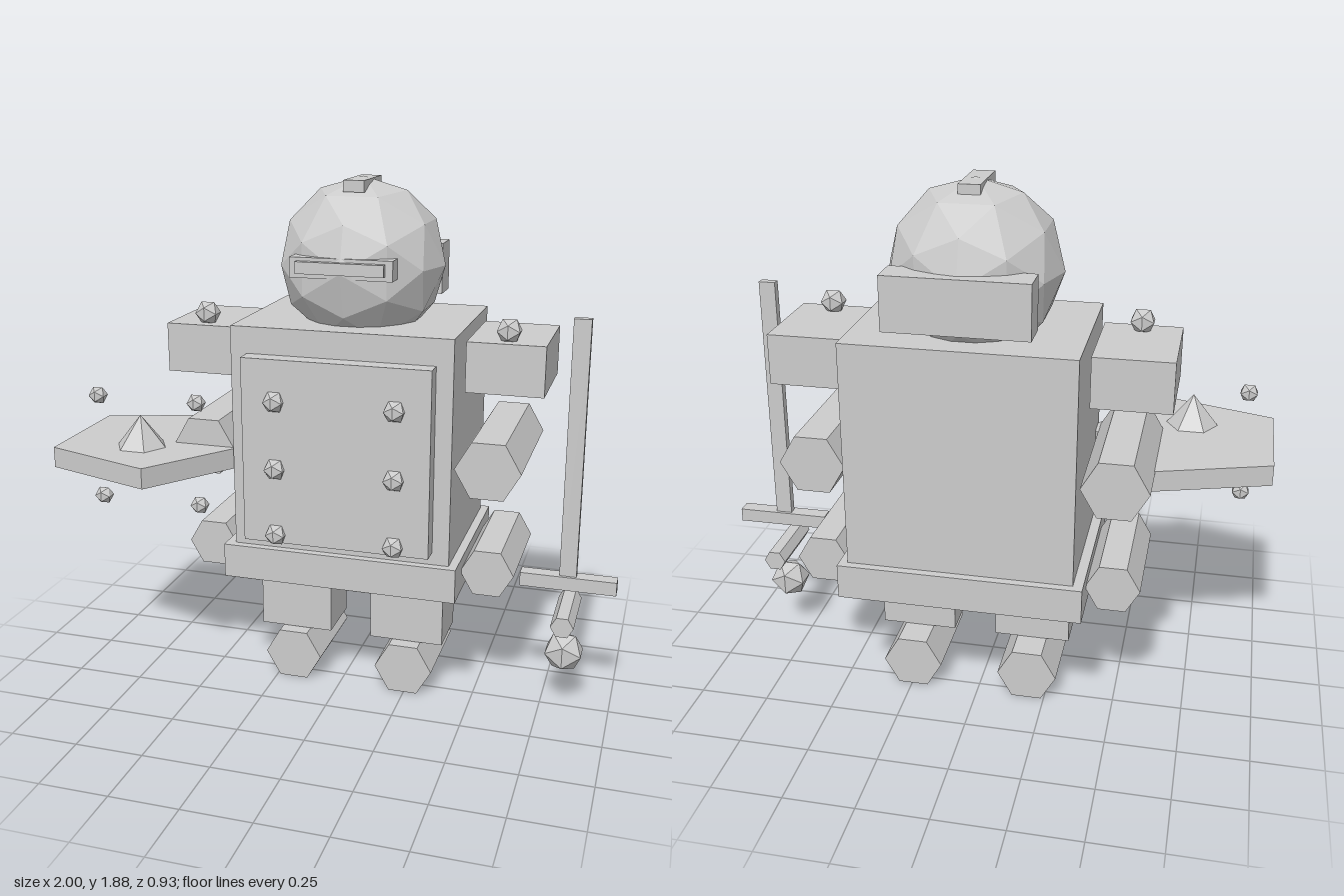
import * as THREE from 'three';

export function createModel() {
  const model = new THREE.Group();
  model.name = 'robotKnight';
  const material = new THREE.MeshStandardMaterial({ color: 0xcccccc, flatShading: true });

  const add = (name, geometry, x, y, z) => {
    const mesh = new THREE.Mesh(geometry, material);
    mesh.name = name;
    mesh.position.set(x, y, z);
    model.add(mesh);
    return mesh;
  };
  // Box given by its lower and upper bounds on each axis
  const box = (name, [x0, x1], [y0, y1], [z0, z1]) =>
    add(name, new THREE.BoxGeometry(x1 - x0, y1 - y0, z1 - z0),
      (x0 + x1) / 2, (y0 + y1) / 2, (z0 + z1) / 2);
  // Six-sided bar lying along z, with corners pointing to the sides
  const hexBar = (name, x, y, r, [z0, z1]) => {
    const geometry = new THREE.CylinderGeometry(r, r, z1 - z0, 6, 1, false, Math.PI / 2);
    geometry.rotateX(Math.PI / 2);
    return add(name, geometry, x, y, (z0 + z1) / 2);
  };
  const stud = (name, x, y, z, r) => add(name, new THREE.IcosahedronGeometry(r, 0), x, y, z);

  const cx = 0.03; // body's middle line

  // Torso
  box('torso', [-0.365, 0.43], [0.52, 1.385], [-0.435, 0.175]);
  box('belt', [-0.4, 0.46], [0.45, 0.575], [-0.465, 0.205]);
  box('chestPlate', [-0.305, 0.37], [0.62, 1.29], [0.17, 0.24]);
  for (const y of [0.65, 0.895, 1.14])
    for (const side of [-1, 1]) stud('chestRivet', cx + side * 0.215, y, 0.24, 0.041);

  // Head
  add('head', new THREE.IcosahedronGeometry(0.3, 1), cx, 1.58, -0.13);
  box('visor', [-0.152, 0.211], [1.56, 1.63], [0.09, 0.155]);
  box('visorSlit', [-0.125, 0.185], [1.577, 1.618], [0.14, 0.178]);
  box('crest', [-0.007, 0.068], [1.835, 1.875], [-0.23, 0]);
  box('neckGuard', [-0.215, 0.275], [1.44, 1.626], [-0.453, -0.335]);

  // Limbs, mirrored about the body's middle line
  for (const side of [-1, 1]) {
    const s = side < 0 ? 'right' : 'left';
    const shoulderX = cx + side * 0.552;
    const armX = cx + side * 0.52;
    const legX = cx + side * 0.215;
    box(s + 'Shoulder', [shoulderX - 0.136, shoulderX + 0.136], [1.175, 1.353], [-0.31, 0.055]);
    stud(s + 'ShoulderRivet', shoulderX, 1.387, -0.005, 0.047);
    hexBar(s + 'UpperArm', armX, 0.926, 0.116, [-0.405, 0.148]);
    hexBar(s + 'Forearm', armX, 0.524, 0.096, [-0.345, 0.085]);
    hexBar(s + 'Thigh', legX, 0.51, 0.107, [-0.37, 0.1]);
    box(s + 'Shin', [legX - 0.137, legX + 0.137], [0.19, 0.37], [-0.185, 0.025]);
    hexBar(s + 'Foot', legX, 0.0935, 0.108, [-0.295, 0.07]);
  }

  // Flat five-sided shield with a pointed boss and four studs around it
  add('shield', new THREE.CylinderGeometry(0.366, 0.366, 0.075, 5, 1, false, Math.PI / 2),
    -0.704, 0.893, 0.115);
  add('shieldBoss', new THREE.ConeGeometry(0.093, 0.115, 6, 1, false, Math.PI / 2),
    -0.705, 0.988, 0.217);
  for (const x of [-0.9, -0.51])
    for (const y of [0.7, 1.09]) stud('shieldStud', x, y, 0.16, 0.035);

  // Sword
  box('swordBlade', [0.798, 0.858], [0.47, 1.445], [-0.015, 0.015]);
  box('swordGuard', [0.66, 1], [0.47, 0.52], [-0.027, 0.027]);
  hexBar('swordGrip', 0.828, 0.372, 0.041, [-0.143, 0.13]);
  stud('swordPommel', 0.828, 0.22, 0, 0.076);

  return model;
}
